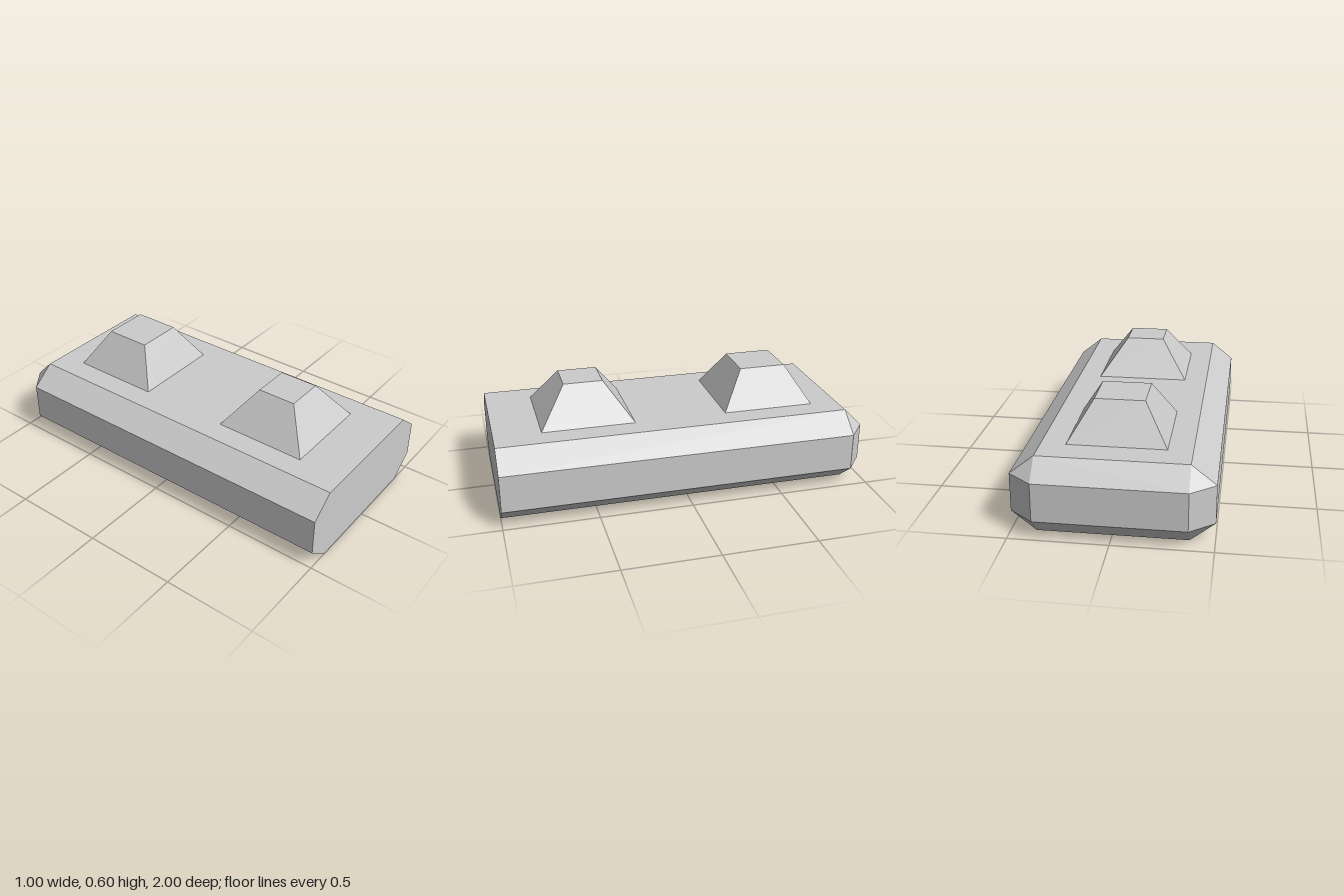
import * as THREE from 'three';
import { ConvexGeometry } from 'three/addons/geometries/ConvexGeometry.js';

const material = new THREE.MeshStandardMaterial({ color: 0xcccccc, flatShading: true });

// Slab with bevelled long edges, flat front end and bevelled back end
function makeBody() {
  const points = [];
  for (const sx of [-1, 1]) {
    for (const sy of [-1, 1]) {
      const add = (x, y, z) => points.push(new THREE.Vector3(sx * x, 0.2 + sy * y, z));
      add(0.375, 0.2, 1);
      add(0.5, 0.1, 1);
      add(0.375, 0.2, -0.9);
      add(0.5, 0.1, -0.9);
      add(0.375, 0.1, -1);
    }
  }
  const body = new THREE.Mesh(new ConvexGeometry(points), material);
  body.name = 'body';
  return body;
}

// Square block tapered towards its top
function makeStud(name, z, topHalf) {
  const geometry = new THREE.BoxGeometry(0.5, 0.2, 0.5);
  const pos = geometry.attributes.position;
  const taper = topHalf / 0.25;
  for (let i = 0; i < pos.count; i++) {
    if (pos.getY(i) > 0) {
      pos.setX(i, pos.getX(i) * taper);
      pos.setZ(i, pos.getZ(i) * taper);
    }
  }
  geometry.computeVertexNormals();
  const stud = new THREE.Mesh(geometry, material);
  stud.name = name;
  stud.position.set(0, 0.5, z);
  return stud;
}

export function createModel() {
  const model = new THREE.Group();
  model.name = 'studdedSlab';
  model.add(
    makeBody(),
    makeStud('frontStud', 0.5, 0.105),
    makeStud('backStud', -0.5, 0.127)
  );
  return model;
}
